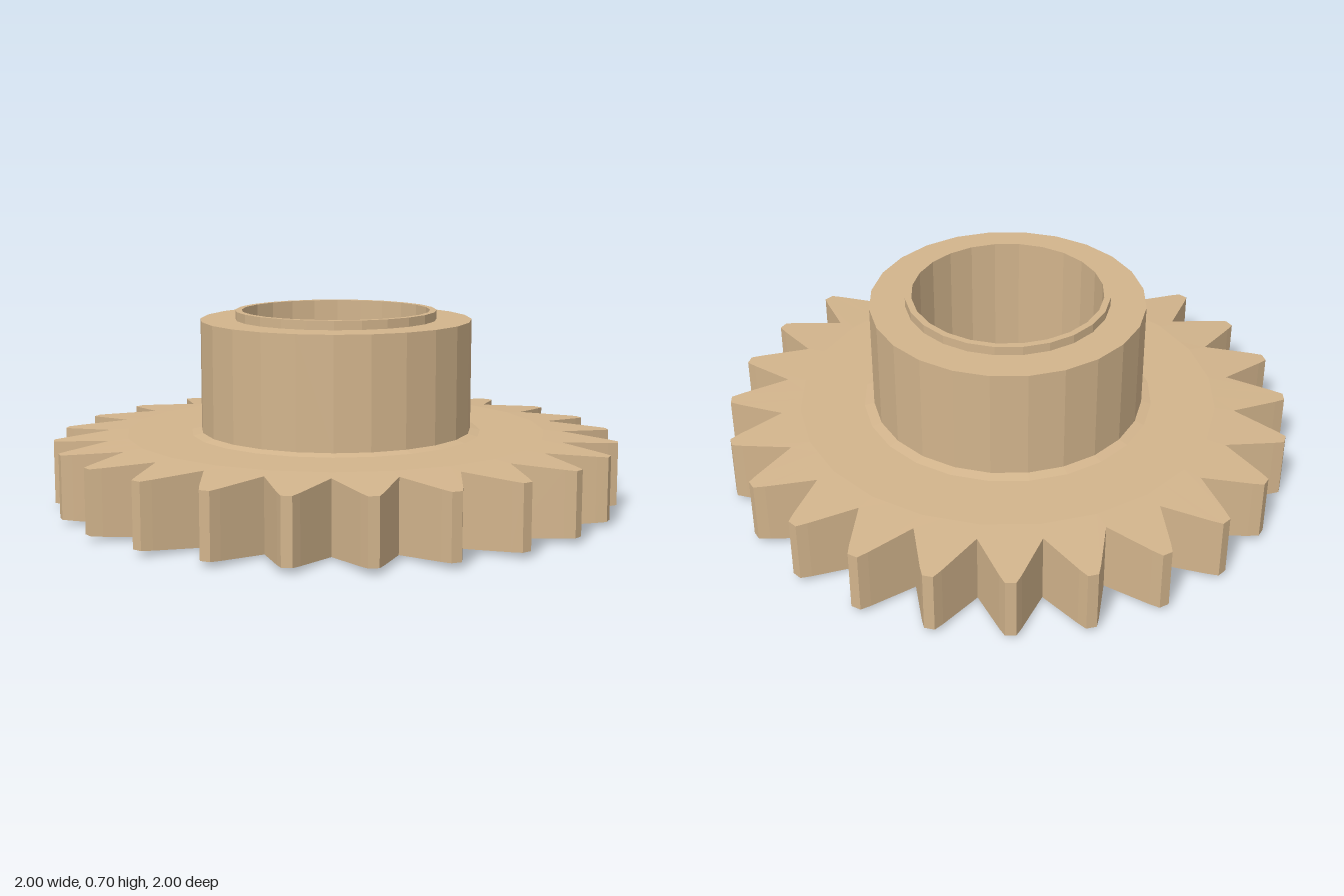
import * as THREE from 'three';

const TEETH = 24;
const STEP = (Math.PI * 2) / TEETH;

// One tooth of the rim, valley to valley: [radius, angle from the valley]
function toothOutline() {
  const at = (along, across) => [Math.hypot(along, across), STEP / 2 + Math.atan2(across, along)];
  return [[0.817, 0], at(0.972, -0.036), at(1.007, -0.018), at(1.007, 0.018), at(0.972, 0.036)];
}

// Toothed disc: rows run from the bottom face, over the rim, to the top face
function gearGeometry() {
  const TOP = 0.262, BEVEL_START = 0.75;
  const bevel = (r) => 0.019 * (r - BEVEL_START) / 0.25;
  // radius on a 24-sided polygon at angle a from one of its corners
  const polygon = (r, a) => r * Math.cos(STEP / 2) / Math.cos(a - STEP / 2);

  const columns = [];
  for (let t = 0; t < TEETH; t++) {
    for (const [r, a] of toothOutline()) {
      const mid = polygon(BEVEL_START, a);
      columns.push({
        angle: t * STEP + a,
        rows: [
          [polygon(0.485, a), 0], [mid, 0], [r, bevel(r)],
          [r, TOP - bevel(r)], [mid, TOP], [polygon(0.52, a), TOP],
        ],
      });
    }
  }

  const positions = [], index = [];
  const rowCount = columns[0].rows.length;
  columns.forEach(({ angle, rows }, i) => {
    const next = (i + 1) % columns.length;
    rows.forEach(([r, y], j) => {
      positions.push(r * Math.sin(angle), y, r * Math.cos(angle));
      if (j === rowCount - 1) return;
      const a = i * rowCount + j, b = next * rowCount + j;
      index.push(a, b, b + 1, a, b + 1, a + 1);
    });
  });
  const geometry = new THREE.BufferGeometry();
  geometry.setAttribute('position', new THREE.Float32BufferAttribute(positions, 3));
  geometry.setIndex(index);
  geometry.computeVertexNormals();
  return geometry;
}

// Hub: base fillet, outer wall, raised lip, bore and countersink underneath
function hubGeometry() {
  const profile = [
    [0.52, 0.262], [0.485, 0.27], [0.485, 0.665], [0.36, 0.665],
    [0.36, 0.697], [0.337, 0.697], [0.337, 0.09], [0.485, 0],
  ].map(([r, y]) => new THREE.Vector2(r, y));
  return new THREE.LatheGeometry(profile, TEETH);
}

export function createModel() {
  const model = new THREE.Group();
  model.name = 'gear';
  const material = new THREE.MeshStandardMaterial({ color: 0xd2b48c, flatShading: true });
  const add = (name, geometry) => {
    const mesh = new THREE.Mesh(geometry, material);
    mesh.name = name;
    model.add(mesh);
  };
  add('toothedDisc', gearGeometry());
  add('hub', hubGeometry());
  return model;
}
